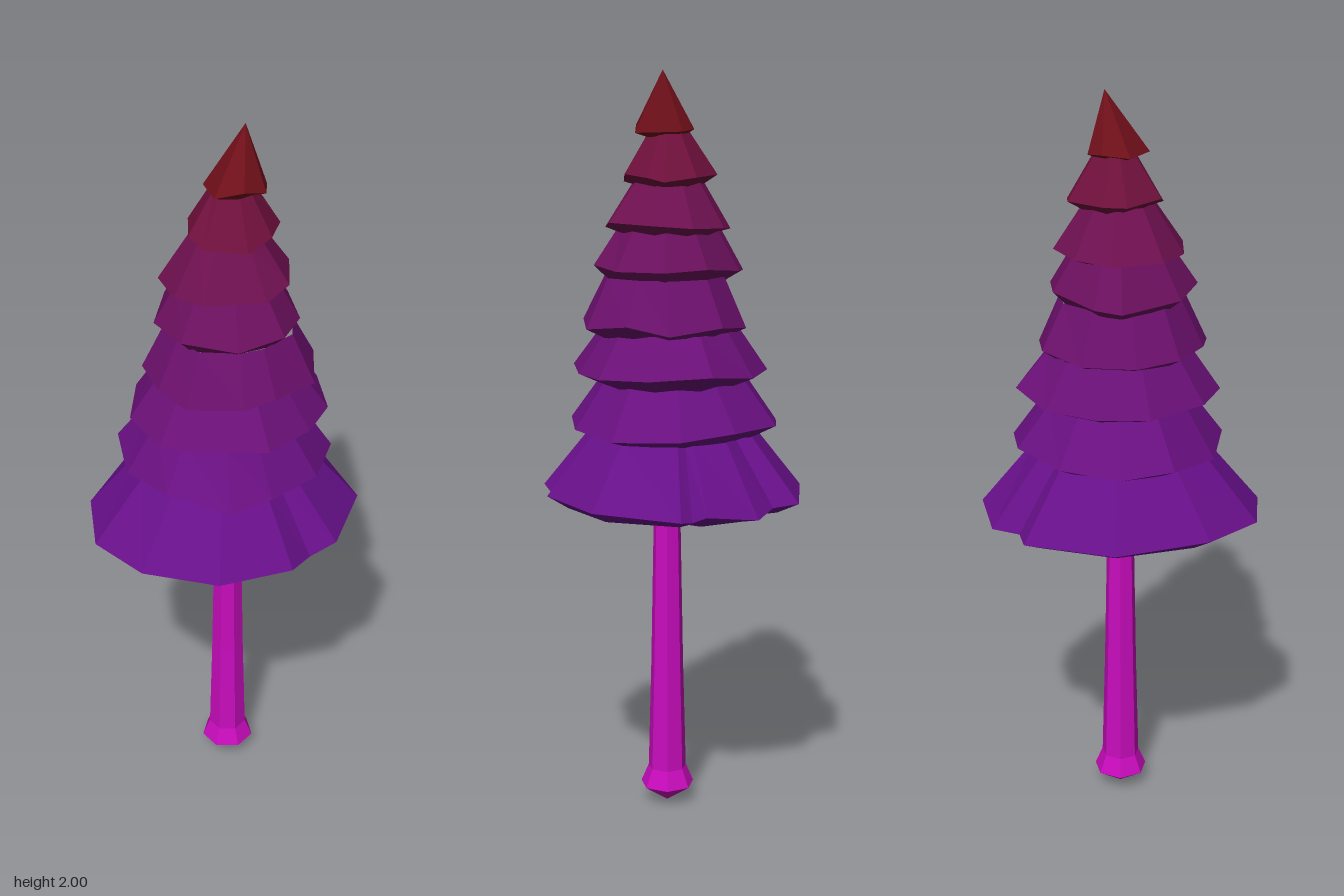
import * as THREE from 'three';

// Repeatable pseudo-random value in 0..1
const hash = (n) => {
  const s = Math.sin(n * 127.1 + 11.7) * 43758.5453;
  return s - Math.floor(s);
};

// Faceted skin over closed rings of points, listed from the bottom up
function skin(name, rings, color) {
  const count = rings[0].length;
  const index = [];
  for (let r = 0; r < rings.length - 1; r++) {
    for (let i = 0; i < count; i++) {
      const j = (i + 1) % count;
      const a = r * count + i, b = r * count + j;
      index.push(a, a + count, b + count, a, b + count, b);
    }
  }
  const geometry = new THREE.BufferGeometry().setFromPoints(rings.flat());
  geometry.setIndex(index);
  const flat = geometry.toNonIndexed();
  flat.computeVertexNormals();
  const mesh = new THREE.Mesh(flat, new THREE.MeshStandardMaterial({ color, flatShading: true }));
  mesh.name = name;
  return mesh;
}

// Outline of the lowest skirt [x, z], with its notches
const SKIRT = [
  [0.015, -0.355], [0.25, -0.28], [0.265, -0.205], [0.34, -0.145], [0.375, 0],
  [0.345, 0.03], [0.367, 0.065], [0.25, 0.27], [0.04, 0.35], [-0.035, 0.32],
  [-0.125, 0.33], [-0.29, 0.22], [-0.375, 0.03], [-0.36, -0.145], [-0.23, -0.28],
];

// Per tier: rim height, rim radius, neck height, neck radius, centre x, centre z
const TIERS = [
  [0.885, 0.36, 0.86, 0.3, 0, 0],
  [1.075, 0.295, 1.045, 0.235, 0, 0],
  [1.225, 0.268, 1.19, 0.21, 0, 0.005],
  [1.345, 0.226, 1.32, 0.195, 0, 0.02],
  [1.49, 0.197, 1.46, 0.17, 0, 0.01],
  [1.6, 0.172, 1.585, 0.138, 0.005, 0.01],
  [1.725, 0.127, 1.71, 0.095, 0.015, 0.015],
  [1.85, 0.083, 1.835, 0.055, 0.01, 0.025],
];

// Uneven rim outline as offsets from the tier's centre
function outline(k, radius) {
  if (k === 0) return SKIRT;
  const n = k < 4 ? 11 : k < 7 ? 9 : 7;
  return Array.from({ length: n }, (_, i) => {
    const a = ((i + k * 0.37 + (hash(k * 31 + i) - 0.5) * 0.5) / n) * Math.PI * 2;
    const r = radius * (0.93 + 0.11 * hash(k * 57 + i + 5));
    return [Math.cos(a) * r, Math.sin(a) * r];
  });
}

export function createModel() {
  const group = new THREE.Group();
  const low = new THREE.Color(0x68108a);
  const high = new THREE.Color(0x70101a);

  // Overlapping foliage skirts, purple at the bottom and red at the tip
  const foliage = new THREE.Group();
  foliage.name = 'foliage';
  TIERS.forEach(([rimY, rimR, neckY, neckR, cx, cz], k) => {
    const shape = outline(k, rimR);
    const ring = (scale, y, wobble = 0) => shape.map(([x, z], i) => new THREE.Vector3(
      cx + x * scale, y + (hash(k * 19 + i) - 0.5) * wobble, cz + z * scale));
    const next = TIERS[k + 1];
    const rings = [ring(neckR / rimR * (k ? 0.9 : 1), neckY - (k ? 0.005 : 0)), ring(1, rimY, 0.025)];
    if (next) {
      rings.push(ring((next[3] * 0.97) / rimR, next[2] + 0.01));
    } else {
      rings.push(shape.map(() => new THREE.Vector3(0.04, 2, 0.035)));
    }
    const color = low.clone().lerp(high, k / (TIERS.length - 1));
    foliage.add(skin('foliageTier' + (k + 1), rings, color));

    // Underside of the lowest skirt, redder toward the trunk
    if (k === 0) {
      const steps = [0, 0.2, 0.4, 0.6, neckR / rimR];
      for (let s = 0; s < 4; s++) {
        const shade = new THREE.Color(0x70103c).lerp(low, s / 4);
        foliage.add(skin('foliageUnderside' + (s + 1), [ring(steps[s], 0.86), ring(steps[s + 1], 0.86)], shade));
      }
    }
  });
  group.add(foliage);

  // Tapered trunk with a flared foot ending in a blunt point
  const trunkRing = (r, y) => Array.from({ length: 7 }, (_, i) => {
    const a = ((i + 0.25) / 7) * Math.PI * 2;
    return new THREE.Vector3(Math.cos(a) * r, y, 0.015 + Math.sin(a) * r);
  });
  const profile = [[0, 0], [0.012, 0.008], [0.074, 0.05], [0.053, 0.1], [0.045, 0.4], [0.036, 0.88]];
  group.add(skin('trunk', profile.map(([r, y]) => trunkRing(r, y)), 0xc80cbc));

  return group;
}
